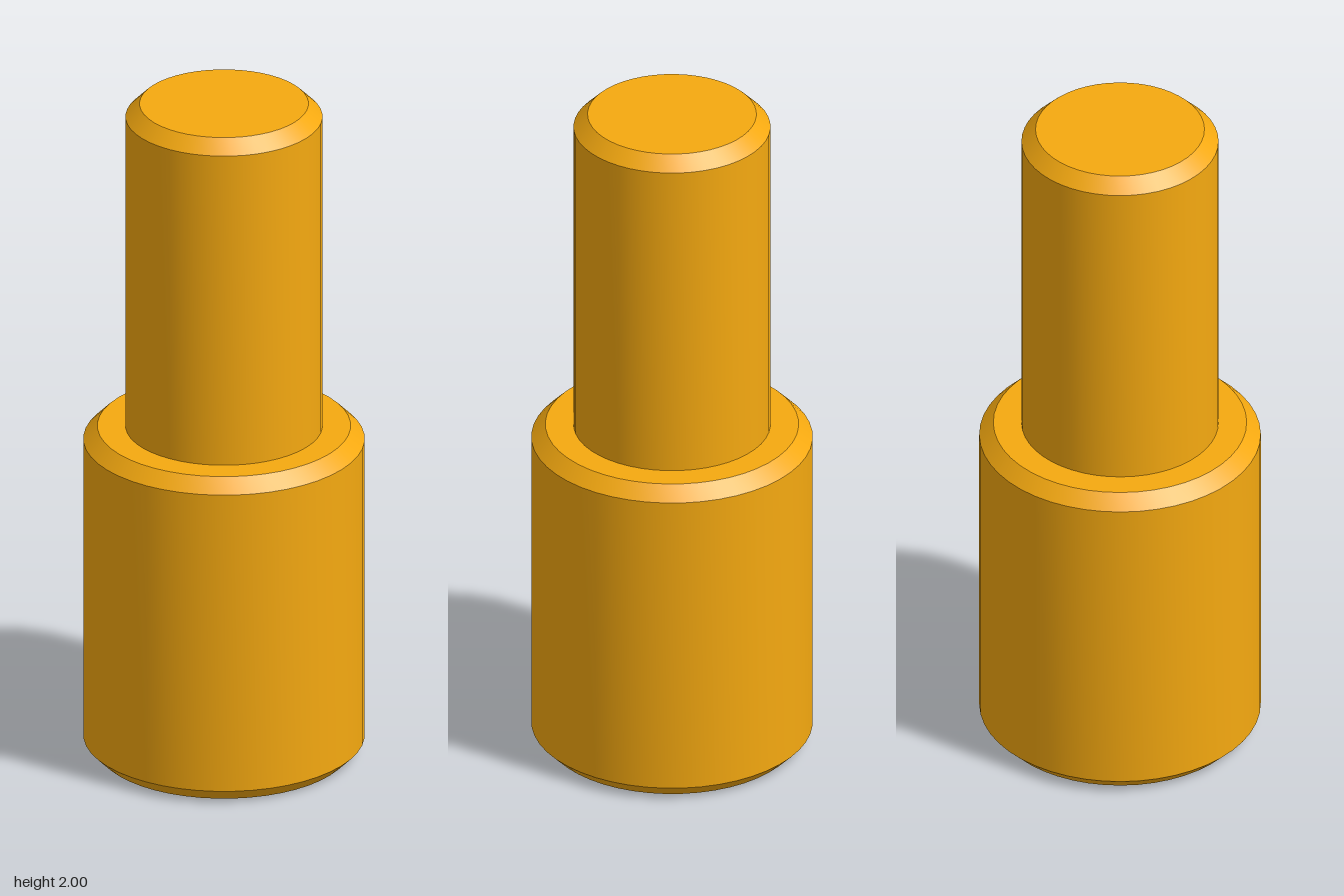
import * as THREE from 'three';
import { toCreasedNormals } from 'three/addons/utils/BufferGeometryUtils.js';

const SEGMENTS = 48;
const CHAMFER = 0.04;

// Solid turned part from a [radius, height] profile, listed bottom to top
function turned(name, profile, material) {
  const points = profile.map(([r, y]) => new THREE.Vector2(r, y));
  const geometry = toCreasedNormals(new THREE.LatheGeometry(points, SEGMENTS), Math.PI / 6);
  const mesh = new THREE.Mesh(geometry, material);
  mesh.name = name;
  return mesh;
}

export function createModel() {
  const group = new THREE.Group();
  group.name = 'steppedPin';
  const material = new THREE.MeshStandardMaterial({ color: 0xf5a910 });

  // Wide lower body, chamfered at both ends
  const R = 0.4;
  group.add(turned('body', [
    [0, 0], [R - CHAMFER, 0], [R, CHAMFER],
    [R, 1 - CHAMFER], [R - CHAMFER, 1], [0, 1],
  ], material));

  // Narrow upper shank, chamfered at the tip
  const r = 0.28;
  group.add(turned('shank', [
    [r, 1], [r, 2 - CHAMFER], [r - CHAMFER, 2], [0, 2],
  ], material));

  return group;
}
